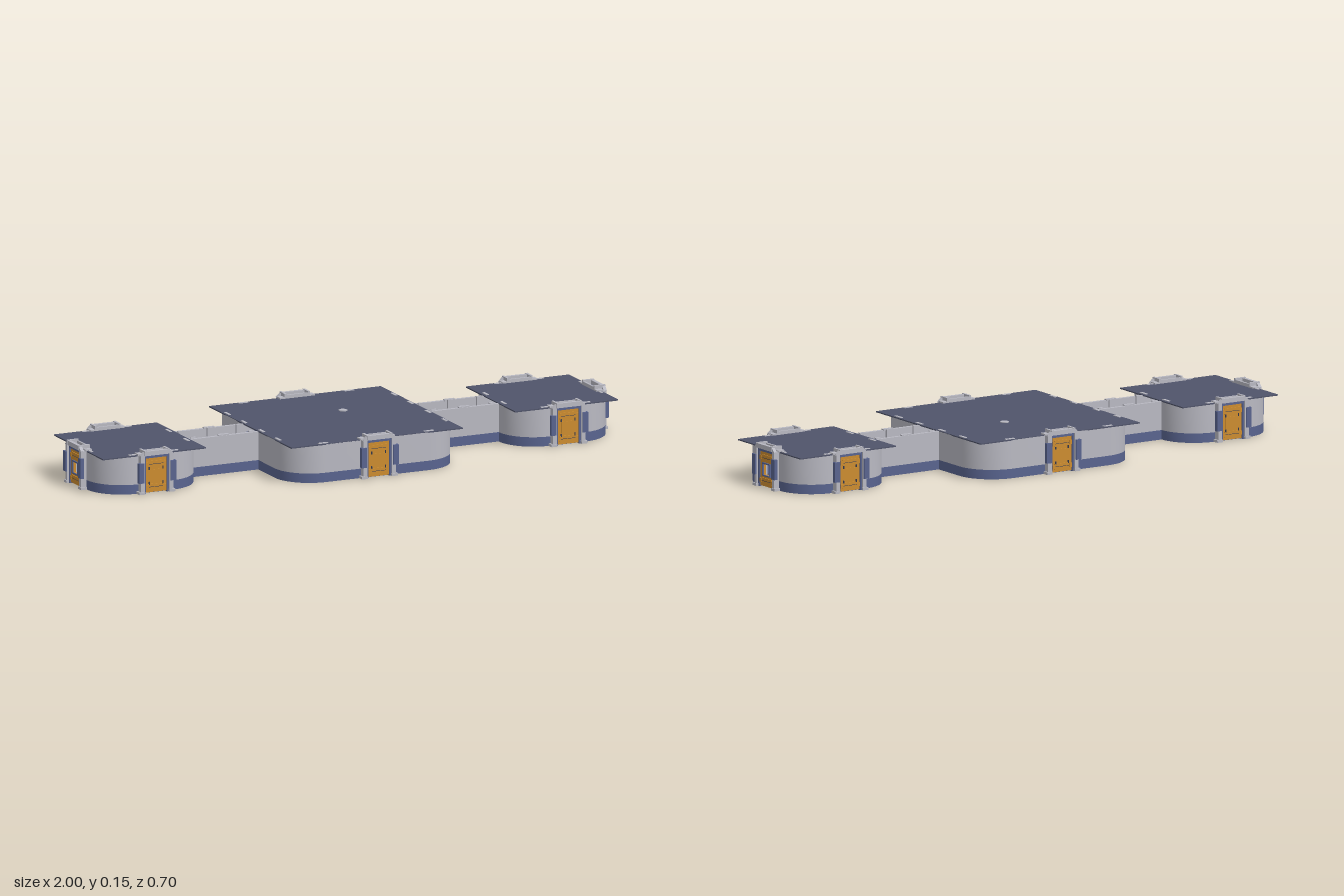
import * as THREE from 'three';
import { toCreasedNormals } from 'three/addons/utils/BufferGeometryUtils.js';

const mat = (name, color, side = THREE.FrontSide) => {
  const m = new THREE.MeshStandardMaterial({ color, side });
  m.name = name;
  return m;
};

export function createModel() {
  const grey = mat('light grey', 0xb9b9c2);
  const blue = mat('slate blue', 0x59648f);
  const orange = mat('door orange', 0xcc8c30);
  const slate = mat('roof slate', 0x50546a);
  const dark = mat('dark trim', 0x3a3f55);

  const model = new THREE.Group();
  model.name = 'spaceStation';

  const add = (parent, name, geo, material, x = 0, y = 0, z = 0) => {
    const m = new THREE.Mesh(geo, material);
    m.name = name;
    m.position.set(x, y, z);
    parent.add(m);
    return m;
  };
  // Box given by its limits on each axis
  const box = (parent, name, material, x0, x1, y0, y1, z0, z1) =>
    add(parent, name, new THREE.BoxGeometry(x1 - x0, y1 - y0, z1 - z0), material,
      (x0 + x1) / 2, (y0 + y1) / 2, (z0 + z1) / 2);
  const rect = (w, y0, y1, Type = THREE.Shape) => new Type([
    new THREE.Vector2(-w, y0), new THREE.Vector2(w, y0),
    new THREE.Vector2(w, y1), new THREE.Vector2(-w, y1)]);
  const plate = (shape, depth) => new THREE.ExtrudeGeometry(shape, { depth, bevelEnabled: false });

  // A quarter of the plan, from the end door round to the middle, inset by t
  const R = 0.13;
  const arc = (cx, cz, r, a0, a1) => Array.from({ length: 13 }, (_, i) => {
    const a = a0 + (a1 - a0) * i / 12;
    return [cx + r * Math.cos(a), cz + r * Math.sin(a)];
  });
  const H = Math.PI / 2;
  const quarter = (t, z0) => [
    [0.975 - t, z0],
    ...arc(0.845, 0.065, R - t, 0, H),
    ...arc(0.715, 0.065, R - t, H, 2 * H),
    [0.585 + t, 0.065 - t], [0.325 - t, 0.065 - t],
    ...arc(0.195, 0.195, R - t, 0, H),
    [0, 0.325 - t],
  ];
  const planExtrude = (pts, y0, y1) => {
    const clean = pts.filter((p, i) => i === 0 || Math.hypot(p[0] - pts[i - 1][0], p[1] - pts[i - 1][1]) > 1e-5);
    const g = plate(new THREE.Shape(clean.map(p => new THREE.Vector2(p[0], -p[1]))), y1 - y0);
    g.rotateX(-H);
    g.translate(0, y0, 0);
    return toCreasedNormals(g, 0.6);
  };

  // Walls with a blue skirting, and the floor, one quarter at a time
  const ring = [...quarter(0, 0.03), ...quarter(0.012, 0.03).reverse()];
  const floor = [...quarter(0.001, 0), [0, 0]];
  for (const sx of [-1, 1]) for (const sz of [-1, 1]) {
    const flip = pts => pts.map(([x, z]) => [x * sx, z * sz]);
    add(model, 'wallBase', planExtrude(flip(ring), 0, 0.033), blue);
    add(model, 'wall', planExtrude(flip(ring), 0.033, 0.133), grey);
    add(model, 'floor', planExtrude(flip(floor), 0.001, 0.006), slate);
  }

  // Square roofs overhanging the rounded corners
  box(model, 'mainRoof', slate, -0.325, 0.325, 0.131, 0.135, -0.325, 0.325);
  for (const s of [-1, 1])
    add(model, 'sideRoof', new THREE.BoxGeometry(0.39, 0.004, 0.39), slate, s * 0.78, 0.133, 0);
  add(model, 'roofCap', new THREE.CylinderGeometry(0.016, 0.016, 0.004, 6), grey, 0.06, 0.136, -0.07);

  // Rib ends showing along the roof edges
  const clip = (x, z, alongX) => add(model, 'wallRib',
    new THREE.BoxGeometry(alongX ? 0.036 : 0.01, 0.008, alongX ? 0.01 : 0.036), grey, x, 0.133, z);
  for (const sx of [-1, 1]) for (const sz of [-1, 1]) {
    clip(sx * 0.2, sz * 0.315, true);
    clip(sx * 0.315, sz * 0.2, false);
    clip(sx * 0.315, sz * 0.07, false);
    clip(sx * 0.6, sz * 0.07, false);
    clip(sx * 0.965, sz * 0.07, false);
    for (const d of [-0.075, 0.075]) clip(sx * (0.78 + d), sz * 0.185, true);
  }

  // Open corridors: blue deck, ribs and inner handrails
  for (const sx of [-1, 1]) {
    add(model, 'corridorDeck', new THREE.BoxGeometry(0.26, 0.004, 0.106), blue, sx * 0.455, 0.007, 0);
    for (const sz of [-1, 1]) {
      for (const x of [0.345, 0.455, 0.565])
        add(model, 'corridorRib', new THREE.BoxGeometry(0.02, 0.13, 0.009), grey, sx * x, 0.071, sz * 0.05);
      add(model, 'corridorRail', new THREE.BoxGeometry(0.26, 0.006, 0.005), grey, sx * 0.455, 0.04, sz * 0.051);
      add(model, 'corridorBump', new THREE.BoxGeometry(0.04, 0.006, 0.012), grey, sx * 0.455, 0.134, sz * 0.057);
    }
  }

  // Door with frame, facing +z from the wall plane
  const door = (x, z, angle, hasWindow) => {
    const g = new THREE.Group();
    g.name = hasWindow ? 'windowDoor' : 'door';
    g.position.set(x, 0, z);
    g.rotation.y = angle;
    model.add(g);

    const leaf = rect(0.04, 0.003, 0.124);
    if (hasWindow) leaf.holes.push(rect(0.019, 0.043, 0.081, THREE.Path));
    add(g, 'doorLeaf', plate(leaf, 0.008), orange, 0, 0, 0.001);
    for (const [y0, y1] of [[0.012, 0.032], [0.092, 0.113]]) {
      box(g, 'doorPanel', orange, -0.032, 0.032, y0, y1, 0.009, 0.012);
      for (const s of [-1, 1])
        add(g, 'panelEnd', new THREE.BoxGeometry(0.008, y1 - y0 - 0.006, 0.003), orange, s * 0.035, (y0 + y1) / 2, 0.012);
      box(g, 'panelGroove', dark, -0.028, 0.028, y0 + 0.009, y0 + 0.0105, 0.012, 0.0125);
    }
    if (hasWindow) {
      const frame = rect(0.024, 0.039, 0.086);
      frame.holes.push(rect(0.019, 0.043, 0.081, THREE.Path));
      add(g, 'windowFrame', plate(frame, 0.006), blue, 0, 0, 0.008);
    } else {
      box(g, 'doorPanel', orange, -0.026, 0.026, 0.042, 0.082, 0.009, 0.011);
      for (const s of [-1, 1])
        for (const y of [0.035, 0.087])
          add(g, 'doorLatch', new THREE.BoxGeometry(0.003, 0.01, 0.004), dark, s * 0.026, y, 0.011);
    }

    // Jambs, posts, side boxes and roof arms in mirrored pairs
    for (const s of [-1, 1]) {
      const pair = (name, m, x0, x1, y0, y1, z0, z1) =>
        box(g, name, m, Math.min(s * x0, s * x1), Math.max(s * x0, s * x1), y0, y1, z0, z1);
      pair('jamb', blue, 0.04, 0.048, 0, 0.125, -0.002, 0.014);
      pair('post', grey, 0.047, 0.062, 0, 0.136, -0.004, 0.02);
      pair('postFoot', grey, 0.046, 0.068, 0, 0.009, -0.004, 0.023);
      pair('sideBox', blue, 0.05, 0.07, 0.04, 0.11, 0.012, 0.025);
      pair('roofArm', grey, 0.04, 0.048, 0.135, 0.152, -0.02, 0.022);
      pair('armFoot', grey, 0.038, 0.066, 0.134, 0.14, -0.02, 0.005);
    }
    box(g, 'lintel', blue, -0.048, 0.048, 0.124, 0.135, -0.002, 0.014);
    const cap = new THREE.Shape([[-0.063, 0.134], [0.063, 0.134], [0.046, 0.15], [-0.046, 0.15]]
      .map(p => new THREE.Vector2(...p)));
    add(g, 'frameCap', plate(cap, 0.012), grey, 0, 0, 0.009);
    box(g, 'rearBar', grey, -0.045, 0.045, 0.135, 0.147, -0.02, -0.013);
  };
  for (const [sz, a] of [[1, 0], [-1, Math.PI]]) {
    door(0, sz * 0.325, a, false);
    for (const sx of [-1, 1]) door(sx * 0.78, sz * 0.195, a, false);
  }
  for (const s of [-1, 1]) door(s * 0.975, 0, s * H, true);

  return model;
}
